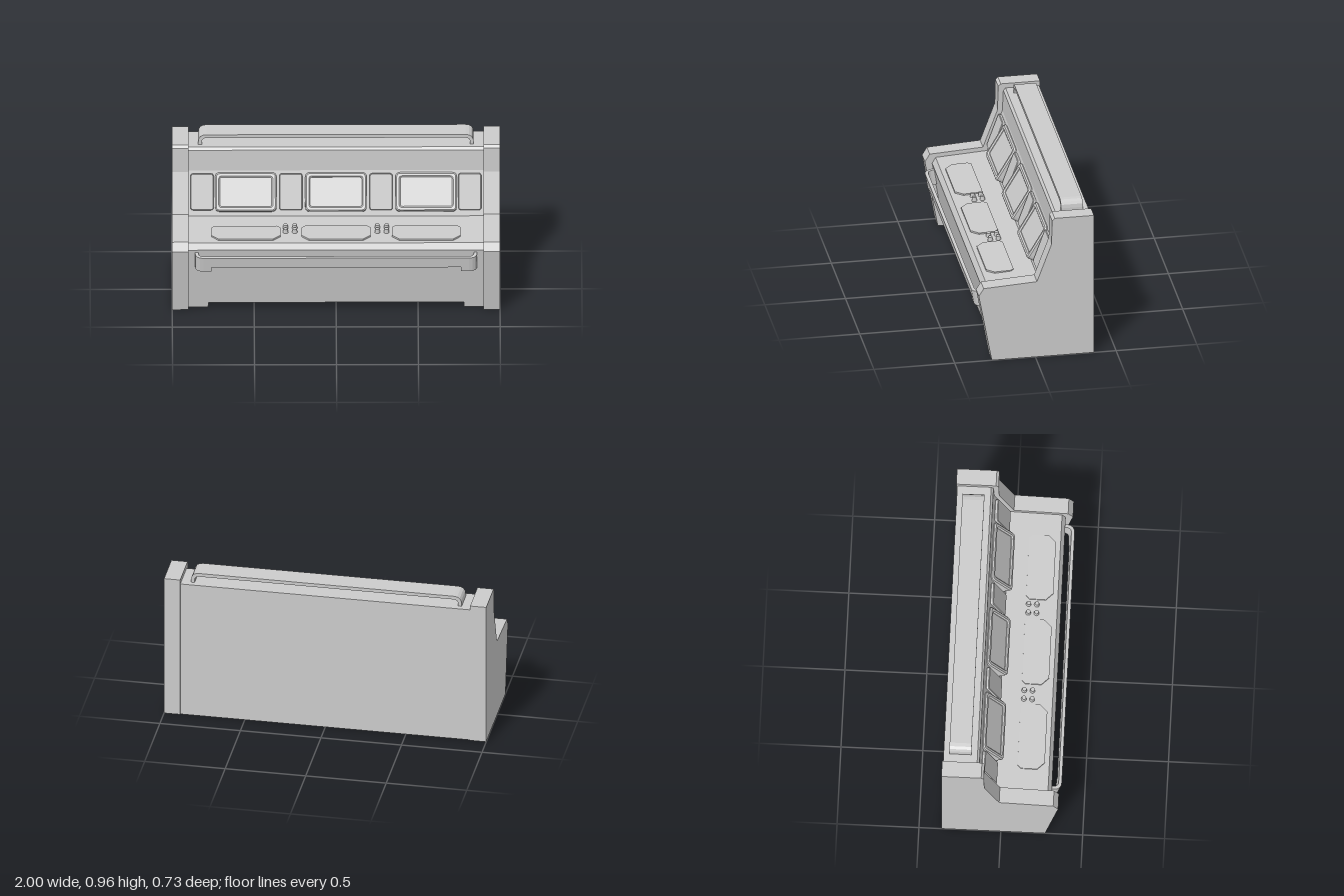
import * as THREE from 'three';

const grey = new THREE.MeshStandardMaterial({ color: 0xcccccc, flatShading: true, side: THREE.DoubleSide });

// Side profiles as [z, y], from the front foot over the top to the back foot
const endProfile = [[0.27, 0], [0.35, 0.44], [0.32, 0.49], [-0.01, 0.51], [-0.1, 0.755],
  [-0.104, 0.915], [-0.12, 0.93], [-0.363, 0.93], [-0.363, 0]];
const bodyProfile = [[0.235, 0], [0.305, 0.427], [0.283, 0.465], [-0.035, 0.485], [-0.13, 0.75],
  [-0.136, 0.885], [-0.15, 0.9], [-0.357, 0.9], [-0.357, 0]];
const FRONT_TILT = Math.atan2(0.07, 0.427);
const SLOPE_TILT = Math.atan2(0.095, 0.265);
const DESK_TILT = Math.atan2(0.02, 0.318);

function add(parent, name, geometry, x = 0, y = 0, z = 0, tilt = 0) {
  const mesh = new THREE.Mesh(geometry, grey);
  mesh.name = name;
  mesh.position.set(x, y, z);
  mesh.rotation.x = tilt;
  parent.add(mesh);
  return mesh;
}

// Sheet that carries a side profile from x0 to x1
function sheet(profile, x0, x1) {
  const v = [];
  for (let i = 0; i < profile.length - 1; i++) {
    const [za, ya] = profile[i], [zb, yb] = profile[i + 1];
    v.push(x0, ya, za, x1, ya, za, x1, yb, zb, x0, ya, za, x1, yb, zb, x0, yb, zb);
  }
  const g = new THREE.BufferGeometry();
  g.setAttribute('position', new THREE.Float32BufferAttribute(v, 3));
  g.computeVertexNormals();
  return g;
}

const polygon = pts => new THREE.Shape(pts.map(p => new THREE.Vector2(p[0], p[1])));
const sideFace = pts => new THREE.ShapeGeometry(polygon(pts)).rotateY(-Math.PI / 2);

// Rounded rectangle centred on x, standing on y = y0
function roundRect(w, h, r, y0 = 0, Type = THREE.Shape) {
  const s = new Type(), a = w / 2, t = y0 + h;
  s.moveTo(-a + r, y0).lineTo(a - r, y0).quadraticCurveTo(a, y0, a, y0 + r);
  s.lineTo(a, t - r).quadraticCurveTo(a, t, a - r, t);
  s.lineTo(-a + r, t).quadraticCurveTo(-a, t, -a, t - r);
  s.lineTo(-a, y0 + r).quadraticCurveTo(-a, y0, -a + r, y0);
  return s;
}

function extrude(shape, depth, bevel = 0) {
  return new THREE.ExtrudeGeometry(shape, {
    depth, curveSegments: 4, bevelEnabled: bevel > 0, bevelSize: bevel,
    bevelThickness: bevel, bevelOffset: -bevel, bevelSegments: 1 });
}

// Half of a flat-bar rail: a post at x = a, a round corner, then a run in to x = x1
function halfRail(a, h, t, r, x1, depth) {
  const s = new THREE.Shape(), q = r - t;
  s.moveTo(a, 0).lineTo(a, h - r).quadraticCurveTo(a, h, a - r, h).lineTo(x1, h);
  s.lineTo(x1, h - t).lineTo(a - r, h - t).quadraticCurveTo(a - t, h - t, a - t, h - t - q);
  s.lineTo(a - t, 0);
  return extrude(s, depth);
}

export function createModel() {
  const model = new THREE.Group();
  model.name = 'controlConsole';

  // Hollow cabinet, open below, with a shallow notch under the front panel
  const notch = 0.035;
  const notched = [[0.235 + 0.07 * notch / 0.427, notch], ...bodyProfile.slice(1)];
  add(model, 'cabinet', sheet(notched, -0.9, 0.9));

  for (const side of [1, -1]) {
    const half = new THREE.Group();
    half.name = side > 0 ? 'leftSide' : 'rightSide';
    half.scale.x = side;
    model.add(half);

    add(half, 'frontFoot', sheet([bodyProfile[0], notched[0]], 0.78, 0.9));

    // End housing: rim, outer wall and inner step
    add(half, 'endRim', sheet(endProfile, 0.9, 1));
    add(half, 'endWall', sideFace(endProfile), 1);
    add(half, 'endStep', sideFace([...endProfile, ...[...bodyProfile].reverse()]), 0.9);

    // Top rail
    add(half, 'topRail', halfRail(0.84, 0.07, 0.022, 0.05, 0, 0.135), 0, 0.895, -0.322);

    // Front rail with deeper ends
    const rail = new THREE.Group();
    rail.name = 'frontRail';
    rail.position.set(0, 0.413, 0.295);
    rail.rotation.x = FRONT_TILT;
    half.add(rail);
    add(rail, 'railBar', halfRail(0.86, 0.07, 0.02, 0.05, 0, 0.07).rotateX(Math.PI / 2));
    add(rail, 'railEnd', halfRail(0.86, 0.07, 0.02, 0.05, 0.76, 0.03).rotateX(Math.PI / 2), 0, -0.07, 0);

    // Rounded plates beside the monitors
    for (const x of [0.275, 0.817]) {
      add(half, 'sidePlate', extrude(roundRect(0.14, 0.225, 0.016), 0.014, 0.004),
        x, 0.522, -0.045, -SLOPE_TILT);
    }

    // Cluster of four buttons
    for (const dx of [-0.028, 0.028]) {
      for (const z of [0.108, 0.158]) {
        add(half, 'button', new THREE.CylinderGeometry(0.013, 0.017, 0.03, 12),
          0.28 + dx, 0.487 - (z - 0.1) * 0.06, z, DESK_TILT);
      }
    }
  }

  for (const x of [-0.55, 0, 0.55]) {
    // Monitor: tilted box with a bevelled frame and a sunken screen
    const monitor = new THREE.Group();
    monitor.name = 'monitor';
    monitor.position.set(x, 0.54, 0.008);
    monitor.rotation.x = -0.535;
    model.add(monitor);
    const frame = roundRect(0.375, 0.238, 0.03);
    frame.holes.push(roundRect(0.315, 0.178, 0.012, 0.03, THREE.Path));
    add(monitor, 'monitorFrame', extrude(frame, 0.049, 0.008), 0, 0, -0.057);
    add(monitor, 'screen', extrude(roundRect(0.33, 0.19, 0.012, 0.024), 0.01), 0, 0, -0.022);

    // Desk pad with cut front corners, fading into the desk at the back
    const a = 0.21, c = 0.045;
    const pad = polygon([[-a, 0.02], [-a + 0.02, 0], [a - 0.02, 0], [a, 0.02],
      [a, 0.165 - c], [a - c, 0.165], [-a + c, 0.165], [-a, 0.165 - c]]);
    add(model, 'deskPad', extrude(pad, 0.016).rotateX(Math.PI / 2), x, 0.483, 0.09, DESK_TILT - 0.03);
  }
  return model;
}
